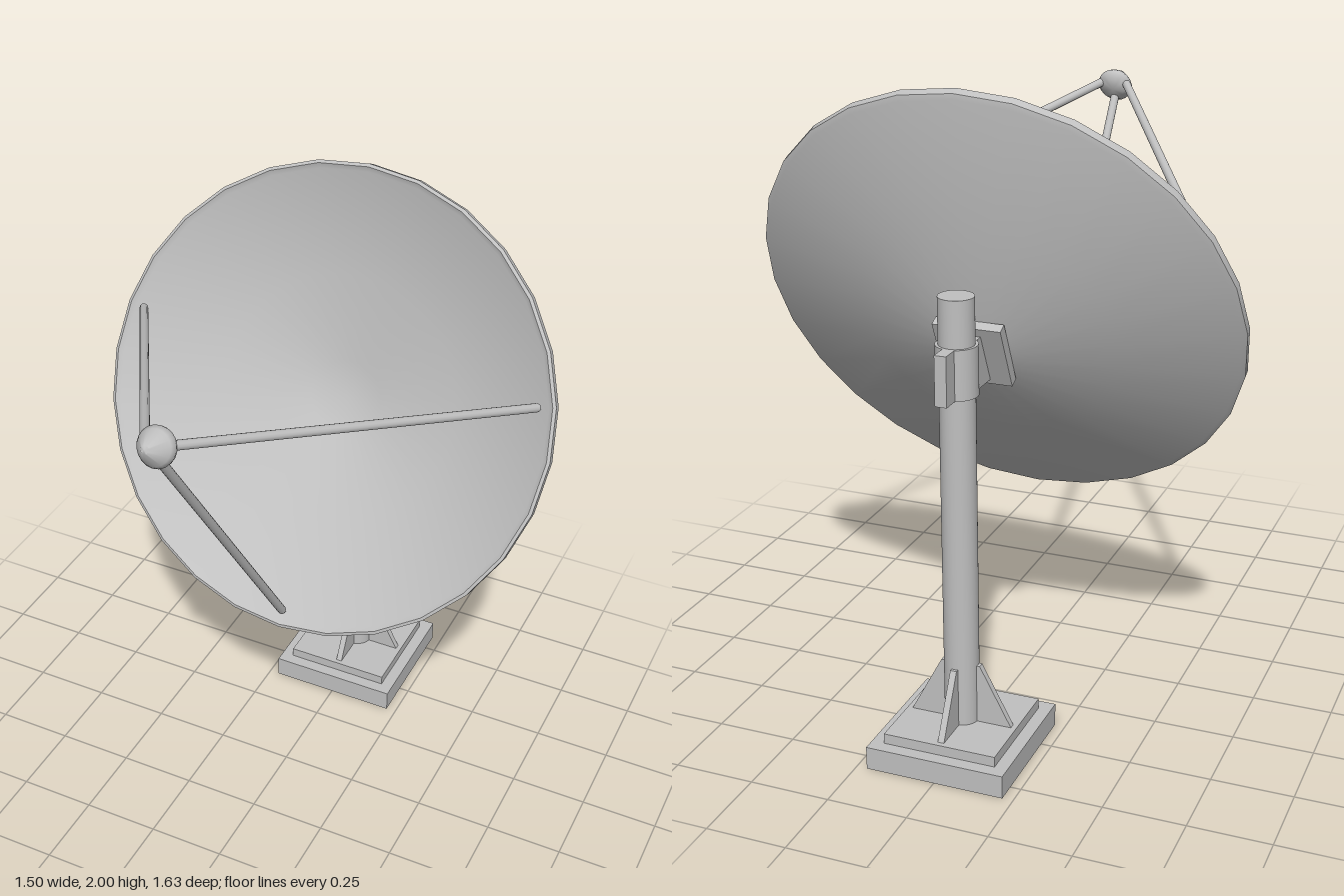
import * as THREE from 'three';
import { toCreasedNormals } from 'three/addons/utils/BufferGeometryUtils.js';

export function createModel() {
  const model = new THREE.Group();
  model.name = 'satelliteDish';
  const metal = new THREE.MeshStandardMaterial({ color: 0xc0c0c0 });
  metal.name = 'lightGreyMetal';
  const metalOpen = new THREE.MeshStandardMaterial({ color: 0xc0c0c0, side: THREE.DoubleSide });
  metalOpen.name = 'lightGreyMetal';

  const add = (parent, name, geometry, x = 0, y = 0, z = 0, material = metal) => {
    const mesh = new THREE.Mesh(geometry, material);
    mesh.name = name;
    mesh.position.set(x, y, z);
    parent.add(mesh);
    return mesh;
  };
  const lathe = (points, sides, crease = 0.5) =>
    toCreasedNormals(new THREE.LatheGeometry(points.map(p => new THREE.Vector2(...p)), sides), crease);
  // Flat outline extruded to a plate centred on its own thickness
  const plate = (points, thickness) =>
    new THREE.ExtrudeGeometry(new THREE.Shape(points.map(p => new THREE.Vector2(...p))),
      { depth: thickness, bevelEnabled: false }).translate(0, 0, -thickness / 2);

  // Stand, centred on the pole axis
  const stand = new THREE.Group();
  stand.name = 'stand';
  stand.position.z = -0.596;
  model.add(stand);

  // Stepped square foot, hollow underneath
  const d = Math.SQRT2;
  const foot = lathe([[0.217 * d, 0], [0.217 * d, 0.072], [0.177 * d, 0.072], [0.177 * d, 0.104], [0, 0.104]], 4);
  add(stand, 'foot', foot.rotateY(Math.PI / 4), 0, 0, 0, metalOpen);
  add(stand, 'pole', new THREE.CylinderGeometry(0.053, 0.053, 1.33, 24), 0, 0.765, 0);

  // Four braces between pole and foot
  for (let i = 0; i < 4; i++) {
    const brace = plate([[0.04, 0.1], [0.163, 0.1], [0.062, 0.29], [0.04, 0.29]], 0.02);
    add(stand, 'brace', brace).rotation.y = i * Math.PI / 2;
  }

  // Clamp round the pole, with a lug behind and an arm toward the dish
  add(stand, 'clamp', new THREE.CylinderGeometry(0.062, 0.062, 0.15, 24), 0, 1.215, 0);
  add(stand, 'clampLug', new THREE.BoxGeometry(0.036, 0.15, 0.07), 0, 1.215, -0.08);
  const arm = plate([[0, 1.14], [0.15, 1.14], [0.082, 1.29], [0, 1.29]], 0.08);
  add(stand, 'dishArm', arm.rotateY(-Math.PI / 2));

  // Tilted reflector assembly, local +z is the dish axis
  const reflector = new THREE.Group();
  reflector.name = 'reflector';
  reflector.position.set(0, 1.32, -0.26);
  reflector.rotation.x = -0.433;
  model.add(reflector);

  // Shallow cone shell with a thick rim
  const dish = lathe([
    [0, -0.225], [0.12, -0.216], [0.4, -0.13], [0.735, -0.034], [0.75, -0.026],
    [0.75, 0], [0.74, 0.004], [0.725, -0.008], [0.4, -0.112], [0.12, -0.195], [0, -0.212],
  ], 28);
  add(reflector, 'dish', dish.rotateX(Math.PI / 2));
  add(reflector, 'mountPlate', new THREE.BoxGeometry(0.21, 0.21, 0.032), 0, 0.005, -0.233);

  // Receiver: domed toward the dish, pointed away from it
  const receiver = lathe([[0, -0.026], [0.035, -0.02], [0.056, -0.004], [0.058, 0.006],
    [0.05, 0.02], [0.012, 0.07], [0, 0.074]], 20, 0.8);
  add(reflector, 'receiver', receiver.rotateX(Math.PI / 2), 0, -0.006, 1.112);

  // Three struts from the rim to the receiver
  const up = new THREE.Vector3(0, 1, 0);
  for (const angle of [-Math.PI / 2, 0.225, Math.PI - 0.225]) {
    const c = Math.cos(angle), s = Math.sin(angle);
    const from = new THREE.Vector3(c * 0.69, s * 0.69, 0.004);
    const to = new THREE.Vector3(c * 0.045, s * 0.035, 1.105);
    const dir = to.clone().sub(from);
    const mid = from.clone().add(to).multiplyScalar(0.5);
    const strut = add(reflector, 'strut', new THREE.CapsuleGeometry(0.014, dir.length(), 4, 12), mid.x, mid.y, mid.z);
    strut.quaternion.setFromUnitVectors(up, dir.normalize());
  }
  return model;
}
